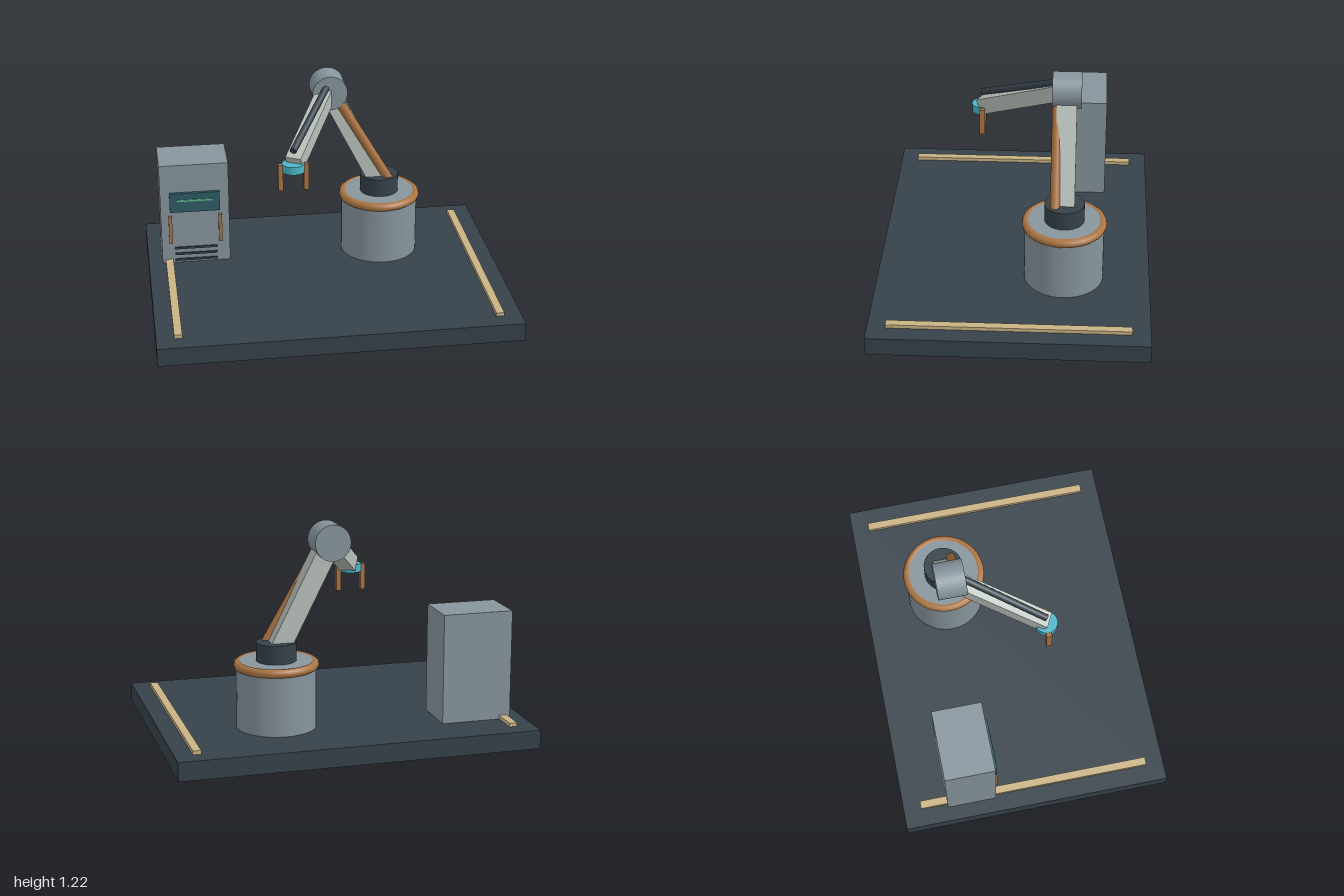
import * as THREE from 'three';

const mat = (color) => new THREE.MeshStandardMaterial({ color });

export function createModel() {
  const model = new THREE.Group();
  const dark = mat(0x36414a), steel = mat(0x87959d), pale = mat(0xb8c0ba);
  const copper = mat(0xab7543), tan = mat(0xc9b384), cyan = mat(0x4db6c9);
  const glass = mat(0x2f5c66), green = mat(0x56b38a);

  const add = (name, geometry, material, x, y, z, parent = model) => {
    const mesh = new THREE.Mesh(geometry, material);
    mesh.name = name;
    mesh.position.set(x, y, z);
    parent.add(mesh);
    return mesh;
  };
  const box = (w, h, d) => new THREE.BoxGeometry(w, h, d);
  const cyl = (r, h, n = 40) => new THREE.CylinderGeometry(r, r, h, n);

  // A part spanning two points, its length along local z and its sides level
  const span = (name, a, b, material, makeGeometry, parent) => {
    const from = new THREE.Vector3(...a), to = new THREE.Vector3(...b);
    const mid = from.clone().add(to).multiplyScalar(0.5);
    const mesh = add(name, makeGeometry(from.distanceTo(to)), material, mid.x, mid.y, mid.z, parent);
    mesh.lookAt(to);
    return mesh;
  };
  const beam = (size) => (length) => box(size, size, length);
  const rod = (r) => (length) => cyl(r, length, 20).rotateX(Math.PI / 2);

  // Platform with two floor rails
  add('platform', box(2, 0.105, 1.52), dark, 0, 0.0525, 0);
  for (const side of [-1, 1]) add('floorRail', box(0.044, 0.024, 1.32), tan, side * 0.88, 0.114, 0);

  // Control cabinet: screen, handles and vents on its front
  const cabinet = new THREE.Group();
  cabinet.name = 'controlCabinet';
  cabinet.position.set(-0.7225, 0, -0.227);
  model.add(cabinet);
  add('cabinetBody', box(0.395, 0.716, 0.28), steel, 0, 0.362, -0.14, cabinet);
  add('screen', box(0.288, 0.118, 0.02), glass, 0, 0.492, 0.008, cabinet);
  add('screenLine', box(0.204, 0.012, 0.008), green, 0, 0.506, 0.018, cabinet);
  for (const side of [-1, 1]) add('cabinetHandle', box(0.02, 0.172, 0.02), copper, side * 0.144, 0.32, 0.008, cabinet);
  for (let i = 0; i < 3; i++) add('vent', box(0.246, 0.012, 0.012), dark, 0, 0.123 + i * 0.0375, 0.003, cabinet);

  // Turntable base
  const base = new THREE.Group();
  base.name = 'turntable';
  base.position.set(0.36, 0, -0.28);
  model.add(base);
  add('drum', cyl(0.22, 0.474), steel, 0, 0.239, 0, base);
  add('drumRing', new THREE.TorusGeometry(0.21, 0.0245, 10, 48).rotateX(Math.PI / 2), copper, 0, 0.455, 0, base);
  add('collar', cyl(0.11, 0.12), dark, 0, 0.52, 0, base);

  // Upper arm with its hose, and the elbow
  span('upperArm', [0.36, 0.53, -0.28], [0.06, 1.12, -0.28], pale, beam(0.11));
  span('upperHose', [0.42, 0.54, -0.227], [0.08, 1.12, -0.227], copper, rod(0.027));
  add('elbow', cyl(0.1, 0.16).rotateX(Math.PI / 2), steel, 0.06, 1.12, -0.28);

  // Forearm with its hose
  span('forearm', [0.06, 1.12, -0.28], [-0.195, 0.88, 0.2], pale, beam(0.09));
  span('forearmHose', [0.06, 1.17, -0.25], [-0.2, 0.957, 0.2], dark, rod(0.019));

  // Wrist and gripper fingers
  add('wrist', cyl(0.062, 0.046, 32), cyan, -0.2, 0.863, 0.2);
  for (const side of [-1, 1]) add('gripperFinger', box(0.027, 0.152, 0.03), copper, -0.2 + side * 0.071, 0.806, 0.2);

  return model;
}
